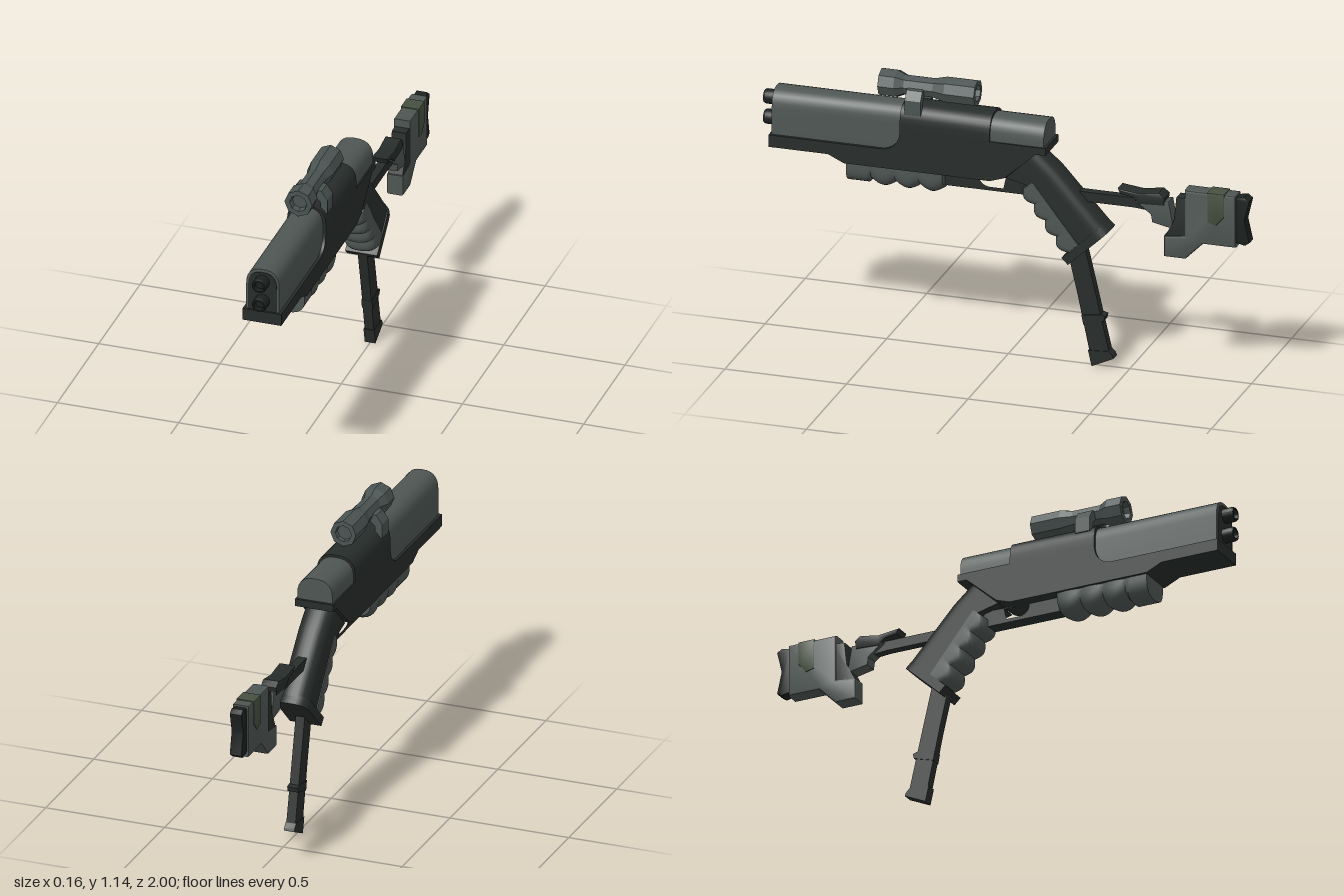
import * as THREE from 'three';
import { toCreasedNormals } from 'three/addons/utils/BufferGeometryUtils.js';

const dark = new THREE.MeshStandardMaterial({ color: 0x272d2b });
const black = new THREE.MeshStandardMaterial({ color: 0x1c2120 });
const light = new THREE.MeshStandardMaterial({ color: 0x4e5653 });
const olive = new THREE.MeshStandardMaterial({ color: 0x465040 });
const scopeMat = new THREE.MeshStandardMaterial({ color: 0x4a5452, flatShading: true });

// Closed D-shaped ring: flat edge at a, rounded edge at b (both [z, y]), half width w.
function dRing(a, b, w, round, n = 14) {
  const A = new THREE.Vector3(0, a[1], a[0]), B = new THREE.Vector3(0, b[1], b[0]);
  const len = A.distanceTo(B), dir = B.sub(A).normalize();
  const at = (x, d) => A.clone().addScaledVector(dir, d).setX(x);
  const ring = [at(w, 0)];
  for (let i = 0; i <= n; i++) {
    const t = Math.PI * i / n, c = Math.cos(t), s = Math.max(0, Math.sin(t));
    ring.push(at(w * Math.sign(c) * Math.abs(c) ** 0.8, len - round + round * s ** 0.8));
  }
  ring.push(at(-w, 0));
  return ring;
}

// Skin a row of rings and cap both ends.
function loft(rings) {
  const n = rings[0].length, last = rings.length - 1, pts = rings.flat(), idx = [];
  for (let r = 0; r < last; r++) {
    for (let i = 0; i < n; i++) {
      const a = r * n + i, b = r * n + (i + 1) % n;
      idx.push(a, b, a + n, b, b + n, a + n);
    }
  }
  for (const r of [0, last]) {
    const c = new THREE.Vector3();
    rings[r].forEach(p => c.addScaledVector(p, 1 / n));
    const ci = pts.push(c) - 1;
    for (let i = 0; i < n; i++) {
      const a = r * n + i, b = r * n + (i + 1) % n;
      idx.push(ci, ...(r === 0 ? [b, a] : [a, b]));
    }
  }
  // Turn all faces outward using the signed volume
  let vol = 0;
  const v = new THREE.Vector3();
  for (let i = 0; i < idx.length; i += 3) vol += v.crossVectors(pts[idx[i]], pts[idx[i + 1]]).dot(pts[idx[i + 2]]);
  if (vol < 0) idx.reverse();
  const g = new THREE.BufferGeometry().setFromPoints(pts);
  g.setIndex(idx);
  return toCreasedNormals(g, 0.6);
}

// Shape from a list of corner pairs.
const outline = points => new THREE.Shape(points.map(p => new THREE.Vector2(...p)));

// Extrude a side shape, drawn in (z, y), to half width w.
function side(shape, w, bevel = 0) {
  const g = new THREE.ExtrudeGeometry(shape, {
    depth: 2 * (w - bevel), curveSegments: 10, bevelEnabled: bevel > 0,
    bevelSize: bevel, bevelOffset: -bevel, bevelThickness: bevel, bevelSegments: 2,
  });
  g.translate(0, 0, -(w - bevel)).rotateY(-Math.PI / 2);
  return toCreasedNormals(g, 0.5);
}

// Arched block between two z positions.
const arch = (z0, z1, y0, y1, w, round) =>
  loft([z0, z1].map(z => dRing([z, y0], [z, y1], w, round)));

export function createModel() {
  const model = new THREE.Group();
  const add = (name, geometry, material) => {
    const mesh = new THREE.Mesh(geometry, material);
    mesh.name = name;
    model.add(mesh);
  };
  const addSide = (name, points, w, material, bevel) => add(name, side(outline(points), w, bevel), material);

  // Receiver with front tray and curved side cheeks
  const body = new THREE.Shape();
  body.moveTo(0.96, 0.78);
  body.lineTo(0.96, 0.83);
  body.lineTo(0.49, 0.83);
  body.bezierCurveTo(0.45, 0.835, 0.42, 0.865, 0.42, 0.915);
  [[0.05, 0.915], [-0.18, 0.915], [-0.18, 0.885], [-0.14, 0.885], [-0.01, 0.77], [0.05, 0.75], [0.65, 0.75], [0.715, 0.78]]
    .forEach(p => body.lineTo(...p));
  add('receiver', side(body, 0.08), dark);
  add('receiverTop', arch(0.42, 0.05, 0.915, 1.02, 0.08, 0.075), dark);
  add('rearCover', arch(0.06, -0.17, 0.91, 1.01, 0.074, 0.075), light);

  // Barrel shroud, its front plate and twin muzzles
  add('barrelShroud', arch(0.4, 0.95, 0.82, 1.013, 0.068, 0.075), light);
  add('shroudFrontPlate', arch(0.94, 0.953, 0.83, 1.0, 0.059, 0.065), dark);
  for (const y of [0.96, 0.875]) {
    const profile = [[0.03, 0.94], [0.03, 0.992], [0.026, 1], [0.02, 1], [0.02, 0.975], [0, 0.975]];
    const muzzle = new THREE.LatheGeometry(profile.map(p => new THREE.Vector2(...p)), 20);
    muzzle.rotateX(Math.PI / 2).translate(0, y, 0);
    add('muzzle', toCreasedNormals(muzzle, 0.5), black);
  }

  // Foregrip with finger scallops
  const foreRings = [];
  for (let i = 0; i <= 32; i++) {
    const z = 0.645 - 0.395 * i / 32;
    const wave = i < 8 ? 0.7 : Math.abs(Math.sin(Math.PI * i / 8));
    foreRings.push(dRing([z, 0.752], [z, 0.678 - 0.022 * wave], 0.066 + 0.005 * wave, 0.065));
  }
  add('foregrip', loft(foreRings), light);

  // Lower rail with finger opening
  const rail = outline([[0.26, 0.755], [0.26, 0.69], [-0.12, 0.69], [-0.08, 0.755]]);
  const opening = new THREE.Path();
  opening.moveTo(0.11, 0.75);
  opening.bezierCurveTo(0.11, 0.72, 0.09, 0.705, 0.06, 0.705);
  opening.lineTo(0.01, 0.705);
  opening.lineTo(0.0, 0.75);
  opening.closePath();
  rail.holes.push(opening);
  add('lowerRail', side(rail, 0.03), dark);

  // Slanted grip with rounded back
  add('grip', loft([
    dRing([-0.01, 0.765], [-0.14, 0.885], 0.062, 0.06),
    dRing([-0.11, 0.74], [-0.22, 0.815], 0.062, 0.06),
    dRing([-0.3, 0.51], [-0.41, 0.607], 0.062, 0.06),
  ]), dark);

  // Scalloped finger pad on the front of the grip
  const padRings = [];
  for (let i = 0; i <= 32; i++) {
    const t = i / 32, wave = Math.abs(Math.sin(Math.PI * i / 8));
    const z = -0.11 - 0.19 * t, y = 0.75 - 0.24 * t, d = 0.052 + 0.012 * t + 0.022 * wave;
    padRings.push(dRing([z - 0.01, y + 0.008], [z + 0.78 * d, y - 0.62 * d], 0.063 + 0.002 * t, 0.045));
  }
  add('fingerPad', loft(padRings), light);
  add('gripBasePlate', loft([
    dRing([-0.24, 0.458], [-0.405, 0.612], 0.066, 0.065),
    dRing([-0.267, 0.432], [-0.432, 0.586], 0.066, 0.065),
  ]), dark);

  // Thin curved magazine with band and foot
  addSide('magazine', [[-0.25, 0.47], [-0.29, 0.3], [-0.347, 0.03], [-0.425, 0.05], [-0.367, 0.3], [-0.32, 0.5]], 0.019, dark);
  addSide('magazineBand', [[-0.308, 0.21], [-0.316, 0.17], [-0.4, 0.195], [-0.405, 0.215], [-0.388, 0.22]], 0.022, dark);
  addSide('magazineFoot', [[-0.335, 0.065], [-0.35, 0.0], [-0.44, 0.042], [-0.435, 0.055], [-0.42, 0.07]], 0.022, dark);

  // Stock: arm, cheek rest, linkage, butt and pad
  addSide('stockArm', [[-0.2, 0.728], [-0.54, 0.728], [-0.62, 0.68], [-0.52, 0.688], [-0.2, 0.688]], 0.018, dark);
  addSide('cheekRest', [[-0.46, 0.765], [-0.55, 0.755], [-0.63, 0.768], [-0.655, 0.75], [-0.65, 0.715], [-0.55, 0.71], [-0.52, 0.735], [-0.47, 0.742]], 0.034, dark, 0.006);
  addSide('stockLink', [[-0.53, 0.72], [-0.67, 0.735], [-0.69, 0.62], [-0.6, 0.638], [-0.595, 0.67]], 0.03, light, 0.006);
  addSide('stockBracket', [[-0.7, 0.755], [-0.75, 0.76], [-0.75, 0.58], [-0.65, 0.58], [-0.69, 0.66]], 0.031, dark, 0.004);
  addSide('butt', [[-0.735, 0.792], [-0.945, 0.792], [-0.945, 0.575], [-0.81, 0.575], [-0.738, 0.503], [-0.65, 0.503], [-0.65, 0.59], [-0.735, 0.6]], 0.035, light, 0.008);
  addSide('buttInlay', [[-0.83, 0.795], [-0.9, 0.795], [-0.9, 0.7], [-0.865, 0.66], [-0.83, 0.67]], 0.038, olive, 0.004);
  addSide('buttPad', [[-0.935, 0.782], [-0.98, 0.79], [-1, 0.775], [-0.98, 0.69], [-1, 0.6], [-0.98, 0.585], [-0.935, 0.595]], 0.026, black, 0.006);

  // Octagonal scope with recessed lenses
  const tube = [[0, 0.145], [0.032, 0.145], [0.034, 0.125], [0.054, 0.125], [0.054, 0.25], [0.041, 0.3], [0.041, 0.42],
    [0.057, 0.455], [0.057, 0.52], [0.036, 0.52], [0.032, 0.495], [0, 0.495]];
  const scope = new THREE.LatheGeometry(tube.map(p => new THREE.Vector2(...p)), 8);
  scope.rotateX(Math.PI / 2).translate(0, 1.08, 0);
  add('scope', scope, scopeMat);

  // Mirrored scope mount legs
  for (const s of [-1, 1]) {
    const leg = [[0.05, 0.985], [0.079, 0.985], [0.079, 1.045], [0.055, 1.08], [0.03, 1.085], [0.03, 1.05], [0.05, 1.032]];
    const geo = new THREE.ExtrudeGeometry(outline(leg.map(([x, y]) => [s * x, y])), { depth: 0.065, bevelEnabled: false });
    add('scopeMount', geo.translate(0, 0, 0.335), scopeMat);
  }
  return model;
}
